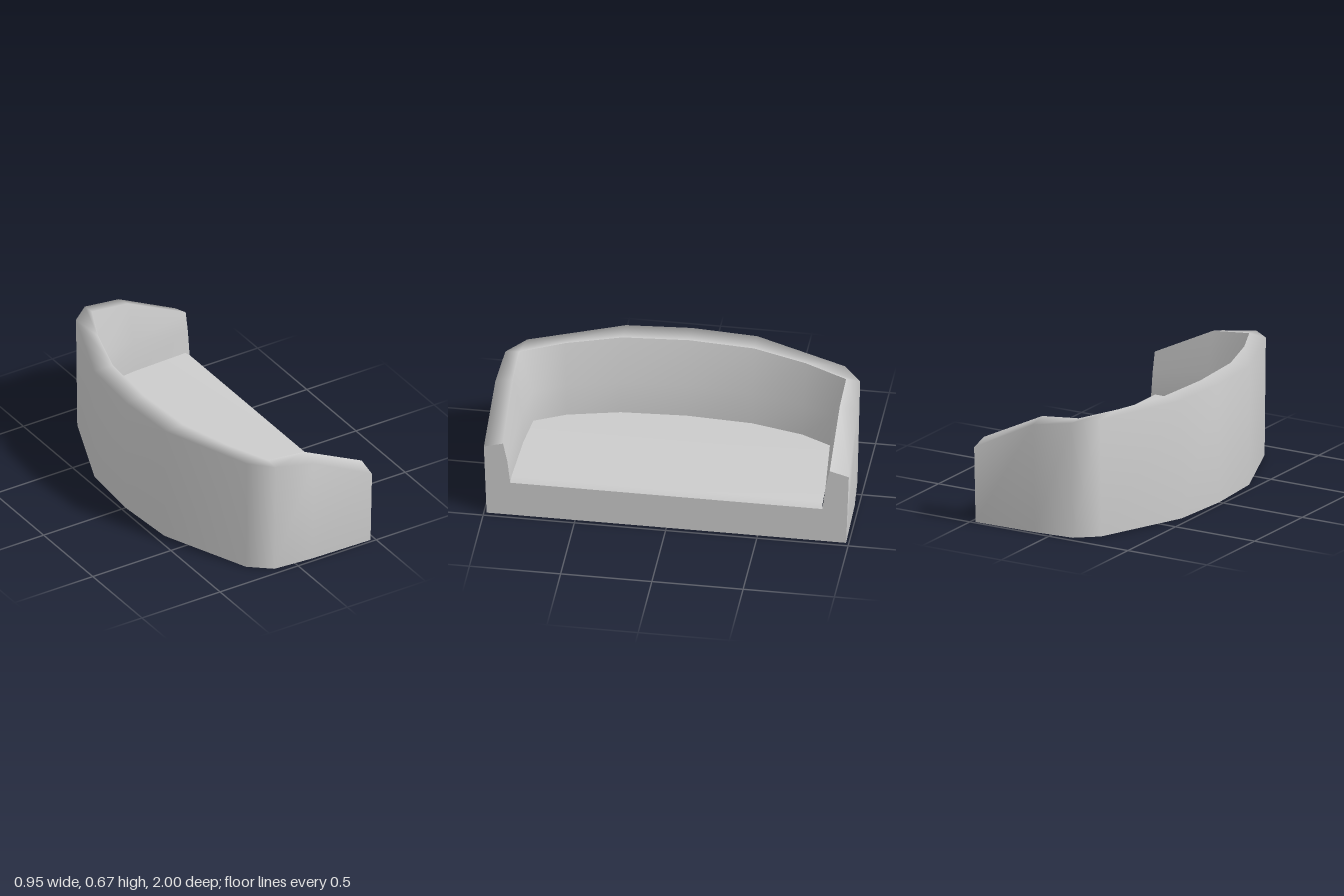
import * as THREE from 'three';

const FRONT = 0.473;

// Half plan, from the front of one arm to the middle of the back:
// outer x, z, shoulder y | rim x, z, y | waist x, z, y | seat edge x, z
const STATIONS = [
  [0.473, 1.0, 0.43, 0.473, 0.895, 0.46, 0.473, 0.872, 0.35, 0.473, 0.855],
  [0.105, 0.992, 0.615, 0.105, 0.895, 0.638, 0.11, 0.845, 0.42, 0.11, 0.838],
  [-0.125, 0.972, 0.655, -0.125, 0.895, 0.662, -0.103, 0.822, 0.42, -0.1, 0.815],
  [-0.245, 0.87, 0.664, -0.235, 0.66, 0.668, -0.195, 0.65, 0.42, -0.185, 0.645],
  [-0.45, 0.36, 0.672, -0.33, 0.36, 0.672, -0.265, 0.36, 0.42, -0.252, 0.36],
  [-0.475, 0, 0.673, -0.355, 0, 0.673, -0.285, 0, 0.42, -0.272, 0],
];
const SEAT_Y = 0.235;
const LIP_Y = 0.208;

// Smooth surface through rows of points
function loft(name, rows, material) {
  const n = rows[0].length;
  const index = [];
  for (let r = 0; r < rows.length - 1; r++) {
    for (let c = 0; c < n - 1; c++) {
      const a = r * n + c, b = a + 1, d = a + n, e = d + 1;
      index.push(a, d, b, b, d, e);
    }
  }
  const geo = new THREE.BufferGeometry();
  geo.setAttribute('position', new THREE.Float32BufferAttribute(rows.flat(2), 3));
  geo.setIndex(index);
  geo.computeVertexNormals();
  const mesh = new THREE.Mesh(geo, material);
  mesh.name = name;
  return mesh;
}

// Runs a half line on around the back to the other arm
function mirrored(half) {
  const other = half.slice(0, -1).reverse().map(([x, y, z]) => [x, y, -z]);
  return [...half, ...other];
}

const line = (pick) => mirrored(STATIONS.map(pick));

export function createModel() {
  const group = new THREE.Group();
  group.name = 'sofa';
  const material = new THREE.MeshStandardMaterial({ color: 0xcccccc });

  // Outer wall, tapering slightly to the floor, rolling over into the top rim
  const foot = line((s) => [s[0], 0, s[1] * 0.985]);
  const shoulder = line((s) => [s[0], s[2], s[1]]);
  const rim = line((s) => [s[3], s[5], s[4]]);
  group.add(loft('outerShell', [foot, shoulder, rim], material));

  // Inner wall of back and arms, meeting the seat
  const waist = line((s) => [s[6], s[8], s[7]]);
  const seatEdge = line((s, i) => [s[9], i === 0 ? LIP_Y : SEAT_Y, s[10]]);
  group.add(loft('innerBack', [rim, waist, seatEdge], material));

  // Seat from back to front, with a bevelled front lip
  const seatRows = STATIONS.slice(1).reverse().map((s) => [s[9], SEAT_Y, s[10]]);
  seatRows.push([0.445, SEAT_Y - 0.003, 0.853], [FRONT, LIP_Y, 0.855]);
  group.add(loft('seat', seatRows.map(([x, y, z]) => [[x, y, z], [x, y, -z]]), material));

  // Underside
  const floorRows = STATIONS.slice().reverse().map((s) => [s[0], s[1] * 0.985]);
  group.add(loft('underside', floorRows.map(([x, z]) => [[x, 0, -z], [x, 0, z]]), material));

  // Flat front: base panel and both arm ends in one outline
  const right = [[0.985, 0], [1.0, 0.43], [0.895, 0.46], [0.872, 0.35], [0.855, LIP_Y]];
  const left = right.map(([z, y]) => [-z, y]).reverse();
  const outline = new THREE.Shape([...right, ...left].map(([z, y]) => new THREE.Vector2(z, y)));
  const frontGeo = new THREE.ShapeGeometry(outline);
  frontGeo.rotateY(Math.PI / 2).translate(FRONT, 0, 0);
  const front = new THREE.Mesh(frontGeo, material);
  front.name = 'frontPanel';
  group.add(front);

  return group;
}
